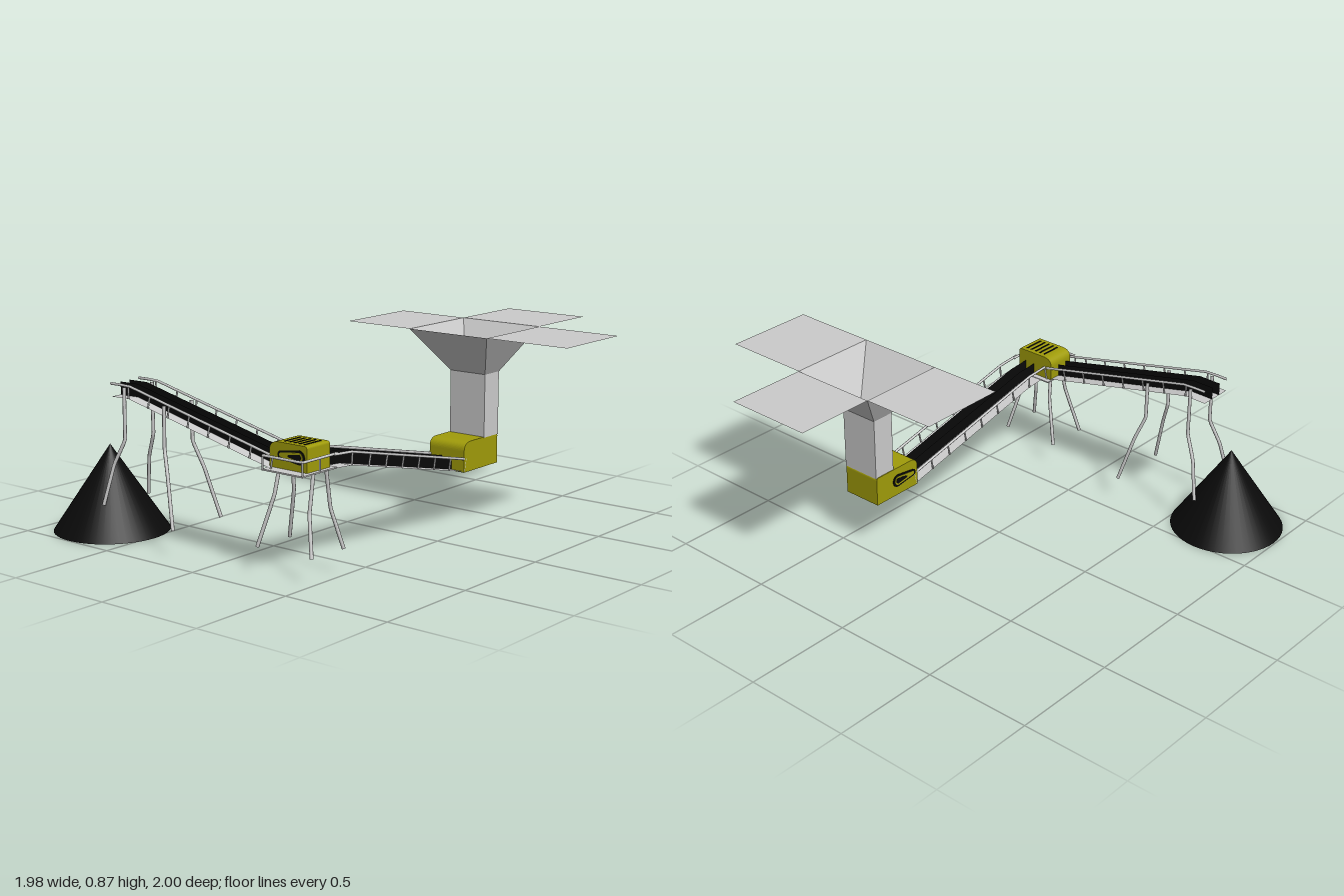
import * as THREE from 'three';

const grey = new THREE.MeshStandardMaterial({ color: 0xcccccc, side: THREE.DoubleSide, flatShading: true });
const tubeGrey = new THREE.MeshStandardMaterial({ color: 0xcccccc });
const yellow = new THREE.MeshStandardMaterial({ color: 0xa09c0a });
const black = new THREE.MeshStandardMaterial({ color: 0x0a0a0a, side: THREE.DoubleSide });
const blackOneSided = new THREE.MeshStandardMaterial({ color: 0x0a0a0a });

function add(parent, name, geometry, material) {
  const mesh = new THREE.Mesh(geometry, material);
  mesh.name = name;
  parent.add(mesh);
  return mesh;
}

// Round bar through a list of points, with straight segments
function bar(points, radius) {
  const path = new THREE.CurvePath();
  const v = points.map((p) => new THREE.Vector3(...p));
  for (let i = 1; i < v.length; i++) path.add(new THREE.LineCurve3(v[i - 1], v[i]));
  return new THREE.TubeGeometry(path, (v.length - 1) * 8, radius, 8);
}

// Ribbon between two equally long rows of points
function ribbon(rowA, rowB) {
  const n = rowA.length, index = [];
  for (let i = 0; i < n - 1; i++) index.push(i, i + 1, n + i, i + 1, n + i + 1, n + i);
  const geo = new THREE.BufferGeometry();
  geo.setAttribute('position', new THREE.Float32BufferAttribute([...rowA, ...rowB].flat(), 3));
  geo.setIndex(index);
  geo.computeVertexNormals();
  return geo;
}

// Side shape drawn as (along, up), given a width across x
function sideExtrude(shape, width) {
  const geo = new THREE.ExtrudeGeometry(shape, { depth: width, bevelEnabled: false, curveSegments: 12 });
  return geo.translate(0, 0, -width / 2).rotateY(-Math.PI / 2);
}

// Two pulleys of different size wrapped by a belt
function pulleyShape(r1, r2, length) {
  const s = new THREE.Shape();
  s.absarc(0, 0, r1, Math.PI / 2, Math.PI * 1.5, false);
  s.absarc(length, 0, r2, -Math.PI / 2, Math.PI / 2, false);
  s.closePath();
  return s;
}

// Conveyor running along local z; path holds [along, height]
function conveyor(name, path, half, beltHalf) {
  const g = new THREE.Group();
  g.name = name;
  const h = 0.057;
  const row = (x, dy) => path.map(([s, y]) => [x, y + dy, s]);
  add(g, 'floor', ribbon(row(-half, 0), row(half, 0)), grey);
  for (const side of [-1, 1]) {
    add(g, 'beltSide', ribbon(row(side * beltHalf, 0), row(side * beltHalf, h)), black);
    add(g, 'rail', bar(row(side * half, h), 0.006), tubeGrey);
    // evenly spaced posts, square to each slope
    for (let i = 1; i < path.length; i++) {
      const [s0, y0] = path[i - 1], [s1, y1] = path[i];
      const length = Math.hypot(s1 - s0, y1 - y0), count = Math.max(1, Math.round(length / 0.112));
      const lean = (y1 - y0) / length * h;
      for (let k = 0; k < count; k++) {
        const t = k / count, s = s0 + (s1 - s0) * t, y = y0 + (y1 - y0) * t;
        add(g, 'post', bar([[side * half, y, s], [side * half, y + h, s - lean]], 0.004), tubeGrey);
      }
    }
  }
  return g;
}

// Drive housing with a rounded leading edge and a pulley cover on one side
function housing(name, s0, s1, y0, y1, width, side, pulleyAt) {
  const g = new THREE.Group();
  g.name = name;
  const r = 0.04;
  const s = new THREE.Shape();
  s.moveTo(s0, y0);
  s.lineTo(s1, y0);
  s.lineTo(s1, y1 - r);
  s.quadraticCurveTo(s1, y1, s1 - r * 1.2, y1);
  s.lineTo(s0 + 0.012, y1);
  s.quadraticCurveTo(s0, y1, s0, y1 - 0.012);
  s.closePath();
  add(g, 'casing', sideExtrude(s, width), yellow);
  const x = side * width / 2, y = (y0 + y1) / 2 + 0.004;
  add(g, 'driveBelt', sideExtrude(pulleyShape(0.03, 0.016, 0.095), 0.006), blackOneSided).position.set(x, y, pulleyAt);
  add(g, 'beltCover', sideExtrude(pulleyShape(0.021, 0.009, 0.092), 0.009), yellow).position.set(x, y, pulleyAt);
  add(g, 'pulley', sideExtrude(pulleyShape(0.013, 0.005, 0.05), 0.012), blackOneSided).position.set(x, y, pulleyAt);
  return g;
}

export function createModel() {
  const model = new THREE.Group();
  model.name = 'conveyorPlant';

  // Heap of material
  add(model, 'heap', new THREE.ConeGeometry(0.257, 0.385, 48), blackOneSided).position.set(-0.737, 0.1925, 0.74);

  // Open hopper and chute, from stacked rectangles
  const ring = (x0, x1, z0, z1, y) => [[x0, y, z0], [x0, y, z1], [x1, y, z1], [x1, y, z0], [x0, y, z0]];
  const mouth = ring(0.175, 0.587, -0.63, -0.22, 0.865);
  const neck = ring(0.284, 0.47, -0.49, -0.382, 0.67);
  const foot = ring(0.284, 0.47, -0.49, -0.382, 0.385);
  add(model, 'hopper', ribbon(mouth, neck), grey);
  add(model, 'chute', ribbon(neck, foot), grey);

  // Flat flaps on three sides of the hopper
  for (const [x0, x1, z0, z1] of [[-0.172, 0.175, -0.63, -0.22], [0.587, 0.99, -0.63, -0.22], [0.175, 0.587, -1, -0.63]]) {
    const flap = add(model, 'flap', new THREE.PlaneGeometry(x1 - x0, z1 - z0).rotateX(-Math.PI / 2), grey);
    flap.position.set((x0 + x1) / 2, 0.865, (z0 + z1) / 2);
  }

  // Feed conveyor, towards the front
  const feed = conveyor('feedConveyor', [[-0.24, 0.257], [0.545, 0.432], [0.66, 0.44]], 0.09, 0.026);
  feed.position.x = 0.374;
  feed.add(housing('feedHousing', -0.49, -0.235, 0.253, 0.388, 0.187, -1, -0.36));
  const strip = (x) => [[x, 0.29, -0.08], [x, 0.421, 0.51]].map(([a, y, z]) => [a, y - 0.003, z]);
  add(feed, 'returnBelt', ribbon(strip(-0.026), strip(0.026)), black);
  model.add(feed);

  // Discharge conveyor, turned towards the heap
  const discharge = conveyor('dischargeConveyor', [[-0.27, 0.44], [0.53, 0.622], [0.635, 0.62]], 0.083, 0.027);
  discharge.position.z = 0.737;
  discharge.rotation.y = -Math.PI / 2;
  const drive = housing('transferHousing', -0.44, -0.244, 0.442, 0.55, 0.142, 1, -0.4);
  drive.position.x = -0.011;
  for (let i = 0; i < 5; i++) {
    add(drive, 'vent', new THREE.BoxGeometry(0.1, 0.004, 0.008), blackOneSided).position.set(0, 0.55, -0.41 + i * 0.026);
  }
  discharge.add(drive);
  model.add(discharge);

  // Transfer platform with its guard rail
  add(model, 'platform', new THREE.BoxGeometry(0.215, 0.006, 0.215), grey).position.set(0.35, 0.438, 0.738);
  add(model, 'platformRail', bar([[0.25, 0.497, 0.845], [0.457, 0.497, 0.845], [0.457, 0.497, 0.63]], 0.006), tubeGrey);
  for (const [x, z] of [[0.25, 0.845], [0.457, 0.845], [0.457, 0.738]]) {
    add(model, 'platformPost', bar([[x, 0.44, z], [x, 0.497, z]], 0.004), tubeGrey);
  }

  // Splayed legs: [x, y, distance from the discharge centre line]
  const legs = [
    [[-0.555, 0.67, 0.083], [-0.555, 0.44, 0.085], [-0.605, 0.33, 0.105], [-0.645, 0.15, 0.135]],
    [[-0.32, 0.62, 0.083], [-0.32, 0.44, 0.085], [-0.28, 0.33, 0.11], [-0.22, 0.11, 0.147]],
    [[0.28, 0.44, 0.04], [0.27, 0.33, 0.06], [0.21, 0.11, 0.1]],
    [[0.457, 0.44, 0.04], [0.457, 0.28, 0.065], [0.497, 0.11, 0.1]],
  ];
  for (const leg of legs) {
    for (const side of [-1, 1]) {
      add(model, 'leg', bar(leg.map(([x, y, d]) => [x, y, 0.738 + side * d]), 0.008), tubeGrey);
    }
  }
  return model;
}
